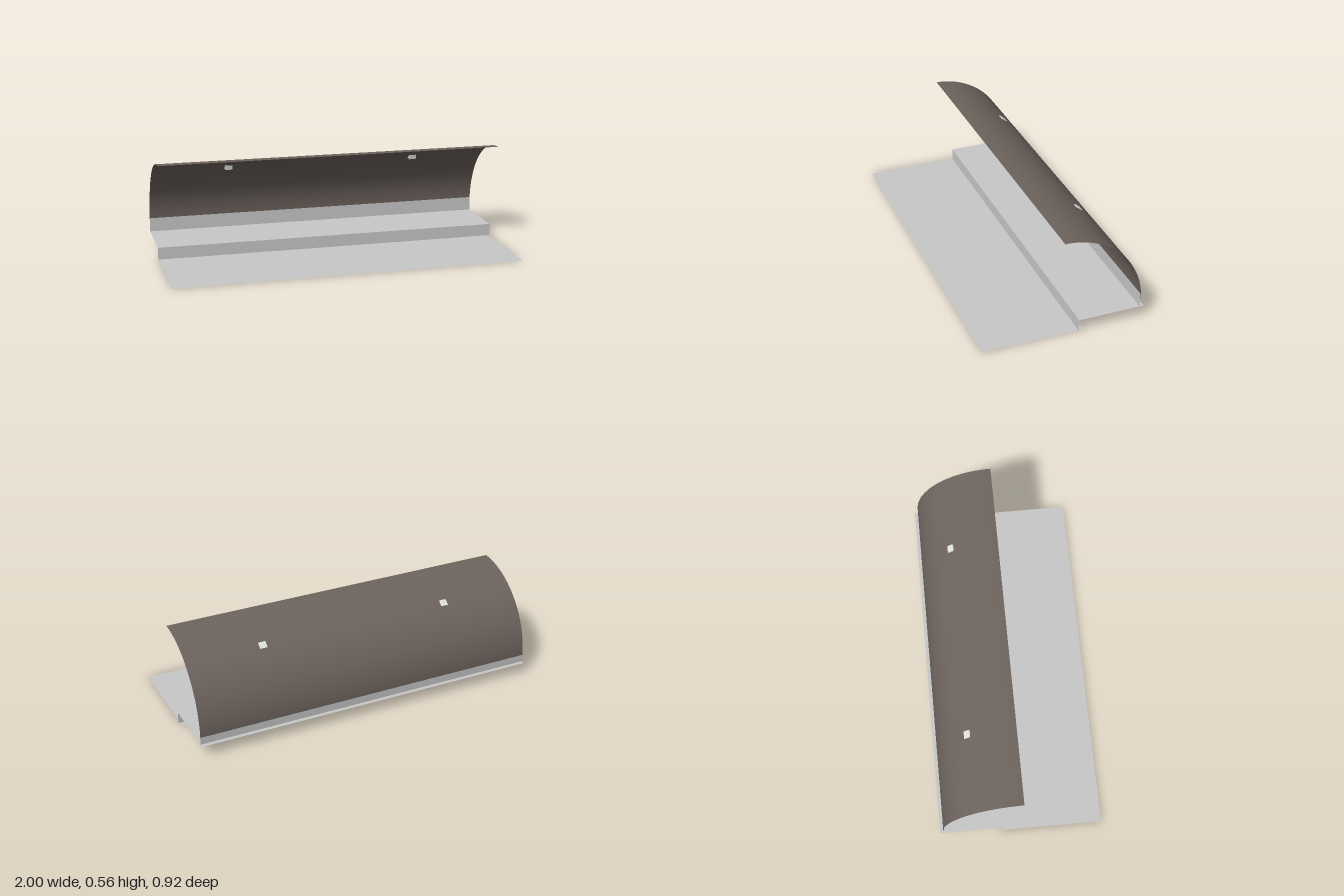
import * as THREE from 'three';

const flat = (name, color, side = THREE.DoubleSide) => {
  const m = new THREE.MeshStandardMaterial({ color, side });
  m.name = name;
  return m;
};

export function createModel() {
  const group = new THREE.Group();
  const grey = flat('pale grey', 0xc8c8c8);
  const brown = flat('warm brown', 0x6e645e);
  const white = flat('off white', 0xe2e2de, THREE.FrontSide);

  const add = (name, geometry, material) => {
    const mesh = new THREE.Mesh(geometry, material);
    mesh.name = name;
    group.add(mesh);
    return mesh;
  };

  // Horizontal sheet between two depths
  const deck = (name, x0, x1, z0, z1, y) => {
    const g = new THREE.PlaneGeometry(x1 - x0, z1 - z0).rotateX(-Math.PI / 2);
    add(name, g.translate((x0 + x1) / 2, y, (z0 + z1) / 2), grey);
  };

  // Vertical sheet facing the front
  const riser = (name, y0, y1, z) => {
    const g = new THREE.PlaneGeometry(2, y1 - y0);
    add(name, g.translate(0, (y0 + y1) / 2, z), grey);
  };

  // Stepped floor, each sheet running slightly behind the riser above it
  deck('lowerFloor', -1, 0.99, -0.11, 0.456, 0);
  riser('stepRiser', 0, 0.07, -0.085);
  deck('upperFloor', -1, 1, -0.46, -0.085, 0.07);
  riser('backWall', 0.07, 0.15, -0.437);

  // Quarter-round canopy: open cylinder sweep laid along x
  const radius = 0.45, centerY = 0.115, centerZ = 0.01;
  const shell = new THREE.CylinderGeometry(radius, radius, 2, 40, 1, true, Math.PI, Math.PI / 2);
  shell.rotateZ(Math.PI / 2);
  // After the turn, the arc spans from the back edge up to the crown
  const p = shell.attributes.position, n = shell.attributes.normal;
  for (let i = 0; i < p.count; i++) {
    const a = (Math.floor(i % 41) / 40) * (Math.PI / 2);
    const c = -Math.cos(a), s = Math.sin(a);
    p.setXYZ(i, i < 41 ? 1 : -1, centerY + radius * s, centerZ + radius * c);
    n.setXYZ(i, 0, s, c);
  }
  // Wind the faces so the convex side is the front
  const ia = shell.index.array;
  const [A, B, C] = [0, 1, 2].map(k => new THREE.Vector3().fromBufferAttribute(p, ia[k]));
  const facing = B.sub(A).cross(C.sub(A));
  if (facing.dot(new THREE.Vector3().fromBufferAttribute(n, ia[0])) < 0) {
    for (let i = 0; i < ia.length; i += 3) [ia[i], ia[i + 1]] = [ia[i + 1], ia[i]];
  }
  add('canopy', shell, brown);

  // Small wedge clips passing through the canopy; profile in (-z, y)
  const profile = new THREE.Shape([
    [0.242, 0.486], [0.25, 0.487], [0.278, 0.466], [0.272, 0.463], [0.253, 0.464], [0.247, 0.46],
  ].map(([a, b]) => new THREE.Vector2(a, b)));
  const clip = new THREE.ExtrudeGeometry(profile, { depth: 0.042, bevelEnabled: false });
  clip.translate(0, 0, -0.021).rotateY(Math.PI / 2);
  for (const side of [-1, 1]) {
    add(side > 0 ? 'leftClip' : 'rightClip', clip, white).position.x = side * 0.557;
  }
  return group;
}
